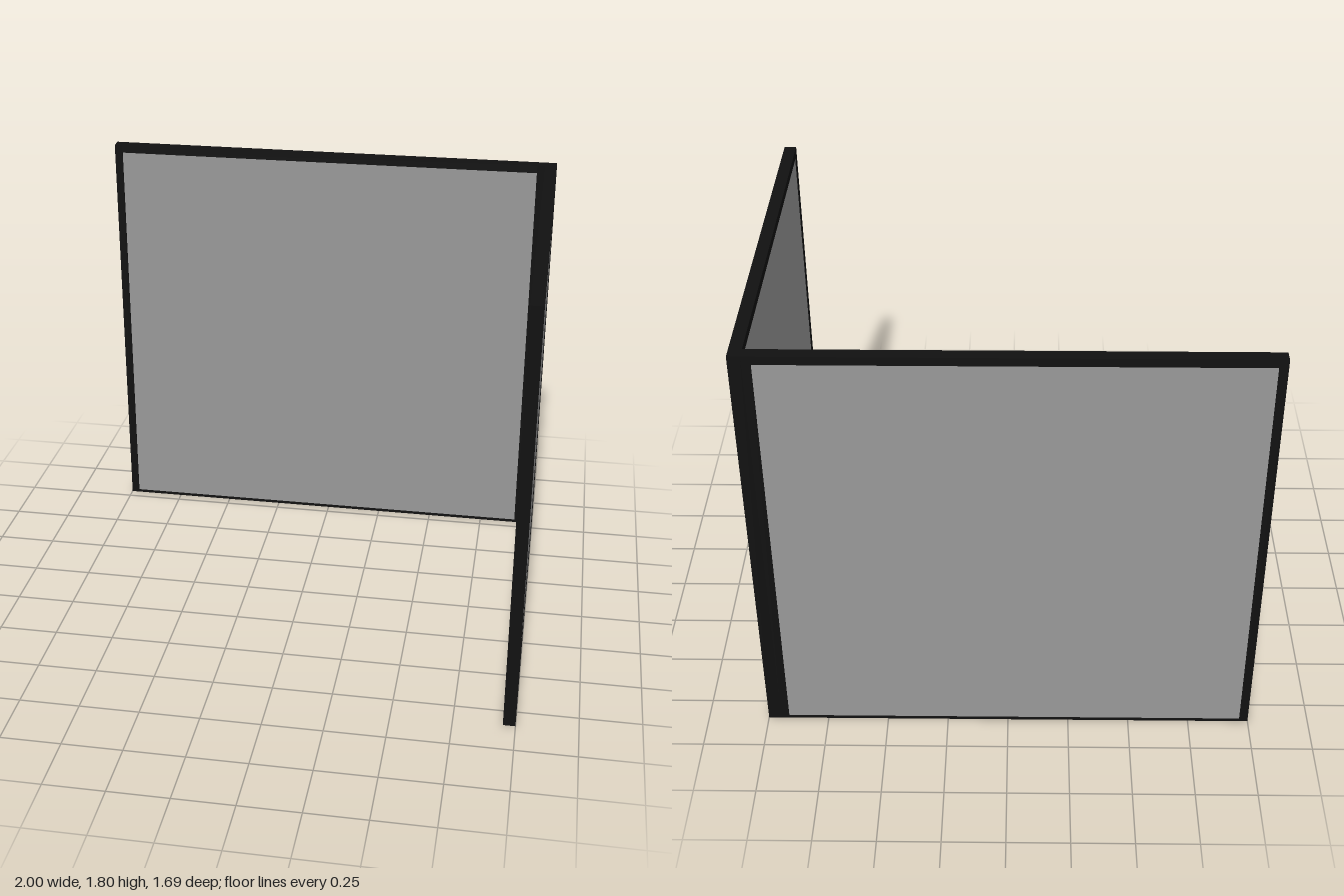
import * as THREE from 'three';

const T = 0.05;      // frame thickness
const H = 1.8;       // screen height
const STILE = 0.035; // visible width of stiles and top rail
const BASE = 0.012;  // visible height of bottom rail
const DEPTH = 1.69;  // overall front-to-back size

const frameMat = new THREE.MeshStandardMaterial({ color: 0x111111 });
const panelMat = new THREE.MeshStandardMaterial({ color: 0x999999 });

function box(name, w, h, d, x, y, mat) {
  const mesh = new THREE.Mesh(new THREE.BoxGeometry(w, h, d), mat);
  mesh.name = name;
  mesh.position.set(x, y, 0);
  return mesh;
}

// One framed screen, centred on x and z, standing on y = 0
function screen(name, width) {
  const g = new THREE.Group();
  g.name = name;
  for (const s of [-1, 1]) {
    g.add(box(s < 0 ? 'rightStile' : 'leftStile', STILE, H, T, s * (width - STILE) / 2, H / 2, frameMat));
  }
  const inner = width - 2 * STILE;
  g.add(box('topRail', inner, STILE, T, 0, H - STILE / 2, frameMat));
  g.add(box('bottomRail', inner, BASE, T, 0, BASE / 2, frameMat));
  // Infill sits just inside the frame faces
  g.add(box('infillPanel', inner, H - STILE - BASE, T - 0.006, 0, (H - STILE + BASE) / 2, panelMat));
  return g;
}

export function createModel() {
  const model = new THREE.Group();
  model.name = 'cornerPartition';

  // Back screen, ending at the corner post
  const back = screen('backScreen', 2 - T);
  back.position.set(-T / 2, 0, -DEPTH / 2 + T / 2);
  model.add(back);

  // Side screen, running forward from the corner post
  const side = screen('sideScreen', DEPTH - T);
  side.rotation.y = Math.PI / 2;
  side.position.set(1 - T / 2, 0, T / 2);
  model.add(side);

  // Square post joining the two screens
  const post = box('cornerPost', T, H, T, 1 - T / 2, H / 2, frameMat);
  post.position.z = -DEPTH / 2 + T / 2;
  model.add(post);

  return model;
}
